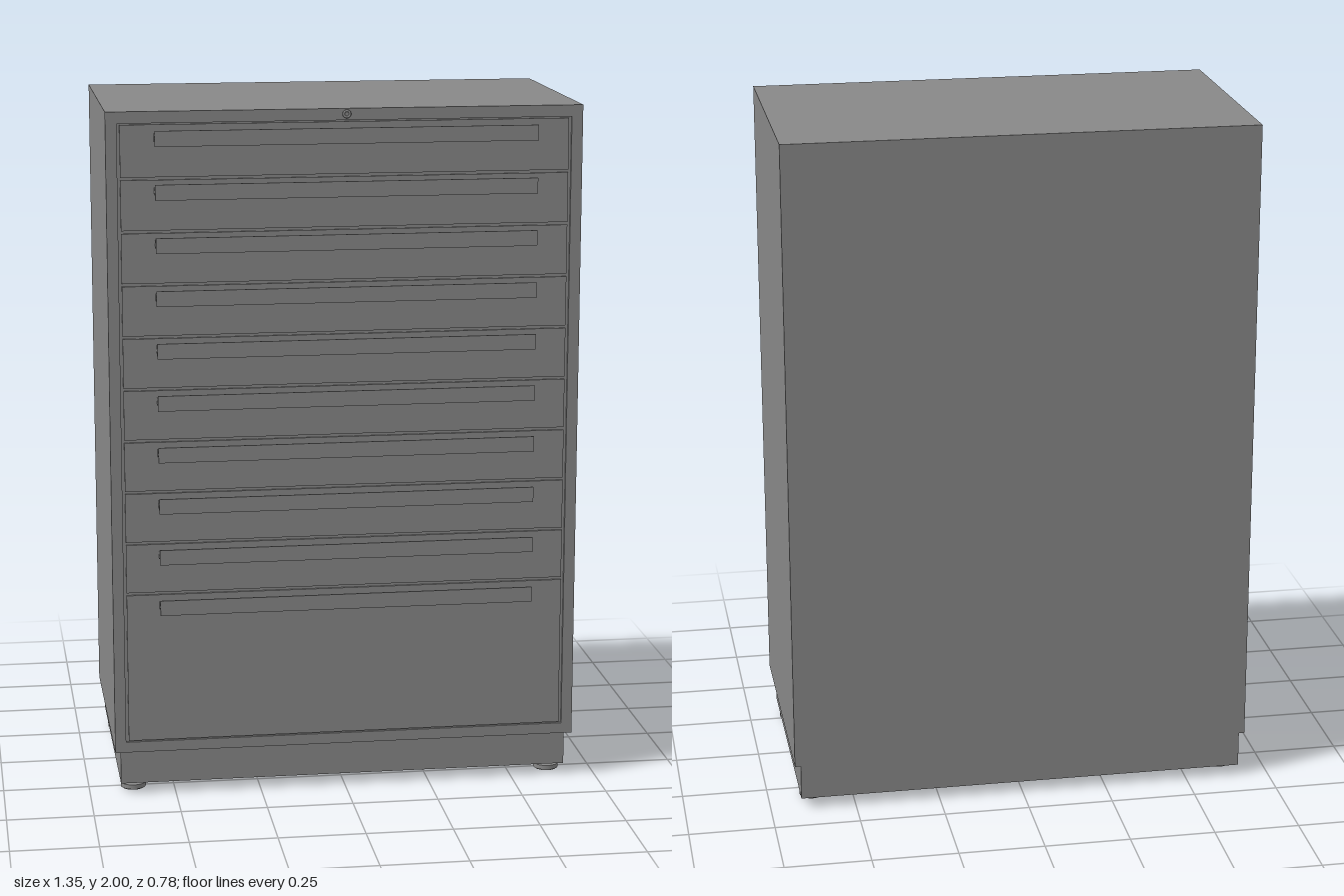
import * as THREE from 'three';

const paintedSteel = new THREE.MeshStandardMaterial({ color: 0x888888 });

function add(parent, name, geometry, x = 0, y = 0, z = 0) {
  const mesh = new THREE.Mesh(geometry, paintedSteel);
  mesh.name = name;
  mesh.position.set(x, y, z);
  parent.add(mesh);
  return mesh;
}

// Box given by its minimum and maximum corners
function block(parent, name, [x0, y0, z0], [x1, y1, z1]) {
  return add(parent, name, new THREE.BoxGeometry(x1 - x0, y1 - y0, z1 - z0),
    (x0 + x1) / 2, (y0 + y1) / 2, (z0 + z1) / 2);
}

function rectangle(PathType, w, y0, y1) {
  return new PathType([[-w, y0], [w, y0], [w, y1], [-w, y1]].map(p => new THREE.Vector2(...p)));
}

export function createModel() {
  const model = new THREE.Group();
  model.name = 'drawerCabinet';

  const halfWidth = 0.677, back = -0.39, front = 0.354;
  const bottom = 0.136, top = 2, grooveZ = front - 0.007;
  const openingWidth = 0.645, openingBottom = 0.167, openingTop = 1.967;

  // Cabinet shell with a front frame around the drawer opening
  block(model, 'cabinetBody', [-halfWidth, bottom, back], [halfWidth, top, grooveZ]);
  const frame = rectangle(THREE.Shape, halfWidth, bottom, top);
  frame.holes.push(rectangle(THREE.Path, openingWidth, openingBottom, openingTop));
  add(model, 'frontFrame',
    new THREE.ExtrudeGeometry(frame, { depth: front - grooveZ, bevelEnabled: false }), 0, 0, grooveZ);

  // Plinth
  block(model, 'plinth', [-0.66, 0.032, back], [0.66, bottom, 0.326]);

  // Pull profile: tall grip, thin web and mounting flange (x is depth, y is height)
  const half = [[0, 0.011], [0.005, 0.011], [0.009, 0.004], [0.027, 0.004],
    [0.031, 0.018], [0.031, 0.022], [0.036, 0.022]];
  const profile = new THREE.Shape([
    ...half.map(([z, y]) => new THREE.Vector2(z, -y)),
    ...half.slice().reverse().map(([z, y]) => new THREE.Vector2(z, y)),
  ]);
  const pullLength = 1.085;
  const pull = new THREE.ExtrudeGeometry(profile, { depth: pullLength, bevelEnabled: false });
  pull.translate(0, 0, -pullLength / 2).rotateY(-Math.PI / 2);

  // Ten drawers, the lowest one deep
  const count = 10, pitch = 0.15, gap = 0.004;
  for (let i = 0; i < count; i++) {
    const upper = i === 0 ? openingTop : 1.962 - i * pitch;
    const lower = i === count - 1 ? openingBottom : 1.962 - (i + 1) * pitch;
    const drawer = new THREE.Group();
    drawer.name = `drawer${i + 1}`;
    block(drawer, 'drawerFront', [-openingWidth + 0.008, lower + gap, grooveZ - 0.002],
      [openingWidth - 0.008, upper - gap, front - 0.001]);
    add(drawer, 'drawerPull', pull, 0, 1.927 - i * pitch, front);
    model.add(drawer);
  }

  // Lock cylinder with a raised rim
  const lock = add(model, 'lock', new THREE.CylinderGeometry(0.009, 0.009, 0.01, 24), 0, 1.985, front);
  lock.rotation.x = Math.PI / 2;
  add(model, 'lockRim', new THREE.TorusGeometry(0.009, 0.0035, 10, 32), 0, 1.985, front + 0.005);

  // Levelling feet: round pad and threaded stem
  for (const x of [-0.62, 0.62]) {
    for (const z of [0.262, -0.297]) {
      const foot = new THREE.Group();
      foot.name = 'levellingFoot';
      foot.position.set(x, 0, z);
      add(foot, 'footPad', new THREE.CylinderGeometry(0.037, 0.037, 0.013, 24), 0, 0.0095, 0);
      add(foot, 'footSole', new THREE.CylinderGeometry(0.033, 0.033, 0.004, 24), 0, 0.002, 0);
      add(foot, 'footStem', new THREE.CylinderGeometry(0.008, 0.008, 0.02, 16), 0, 0.025, 0);
      model.add(foot);
    }
  }
  return model;
}
